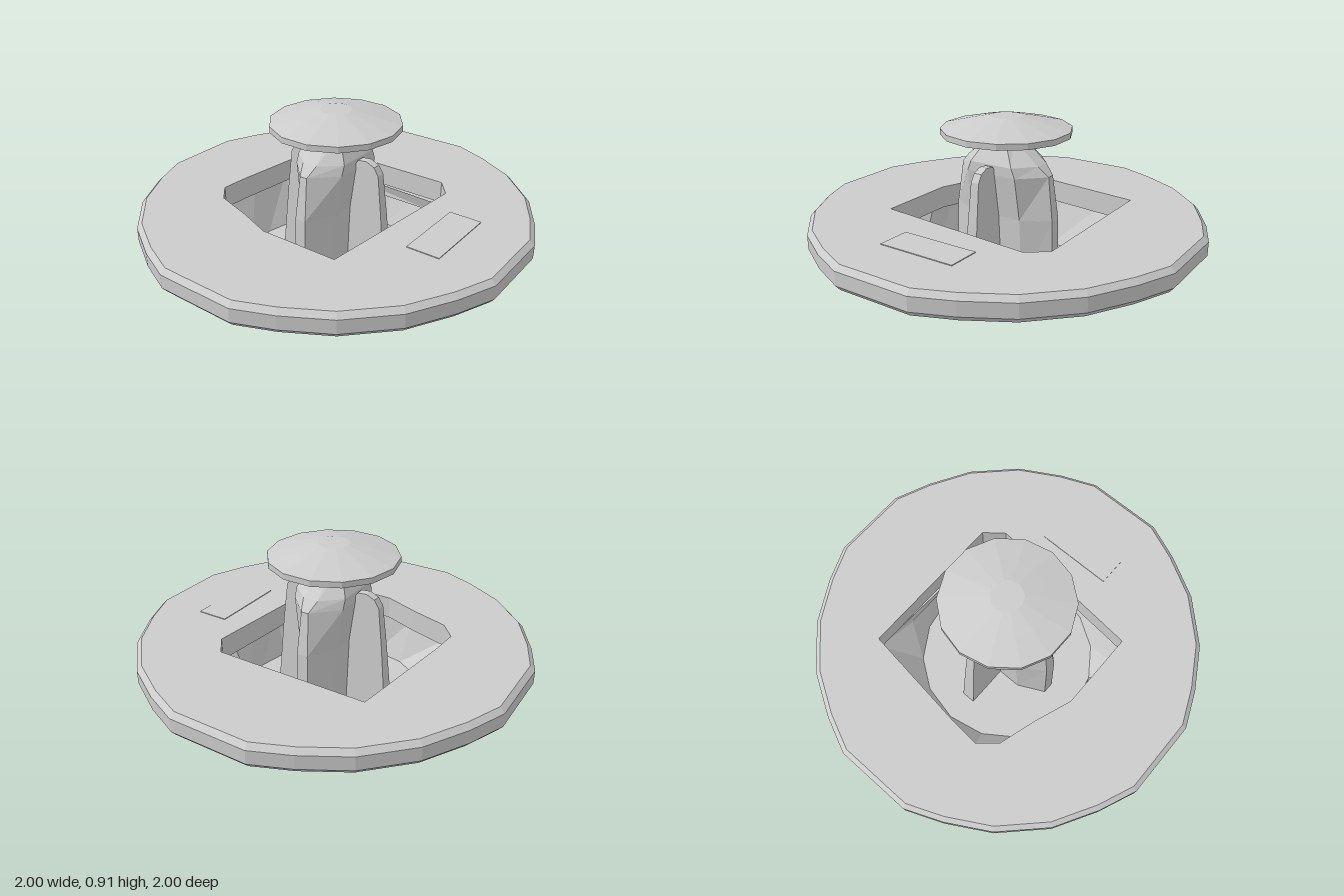
import * as THREE from 'three';

const material = new THREE.MeshStandardMaterial({ color: 0xcccccc, flatShading: true, side: THREE.DoubleSide });

// Closed loop of [x, z] pairs lifted to height y
const level = (pairs, y, s = 1) => pairs.map(([x, z]) => [x * s, y, z * s]);

// Skin between successive closed loops, with optional flat fans on the ends
function loft(loops, capStart = false, capEnd = false) {
  const n = loops[0].length;
  const pos = loops.flat(2);
  const index = [];
  for (let r = 0; r < loops.length - 1; r++) {
    for (let i = 0; i < n; i++) {
      const a = r * n + i, b = r * n + (i + 1) % n;
      index.push(a, a + n, b, b, a + n, b + n);
    }
  }
  const last = (loops.length - 1) * n;
  for (let i = 1; i < n - 1; i++) {
    if (capStart) index.push(0, i, i + 1);
    if (capEnd) index.push(last, last + i + 1, last + i);
  }
  const g = new THREE.BufferGeometry();
  g.setAttribute('position', new THREE.Float32BufferAttribute(pos, 3));
  g.setIndex(index);
  g.computeVertexNormals();
  return g;
}

// Polygon with a hole, laid flat at height y and facing up or down
function plate(outer, hole, y, up) {
  const v = (p) => p.map(([x, z]) => new THREE.Vector2(x, up ? -z : z));
  const shape = new THREE.Shape(v(outer));
  shape.holes.push(new THREE.Path(v(hole)));
  return new THREE.ShapeGeometry(shape).rotateX(up ? -Math.PI / 2 : Math.PI / 2).translate(0, y, 0);
}

export function createModel() {
  const model = new THREE.Group();
  const add = (name, geometry, parent = model) => {
    const mesh = new THREE.Mesh(geometry, material);
    mesh.name = name;
    parent.add(mesh);
    return mesh;
  };

  // Broad ring with a bevelled rim and an irregular opening
  const outline = [];
  for (let q = 0; q < 4; q++) {
    for (const deg of [11.5, 23, 37, 53, 67, 78.5]) {
      const a = THREE.MathUtils.degToRad(q * 90 + deg);
      const r = deg === 11.5 || deg === 78.5 ? 1.02 : 1;
      outline.push([r * Math.cos(a), r * Math.sin(a)]);
    }
  }
  const opening = [
    [0.48, 0.35], [0.38, 0.43], [-0.48, 0.35], [-0.48, -0.07],
    [-0.41, -0.26], [-0.35, -0.46], [-0.26, -0.54], [-0.11, -0.53], [0.48, -0.46],
  ];
  const scaled = (s) => outline.map(([x, z]) => [x * s, z * s]);
  const ring = new THREE.Group();
  ring.name = 'ring';
  model.add(ring);
  add('ringTop', plate(scaled(0.975), opening, 0.425, true), ring);
  add('ringUnderside', plate(scaled(0.98), opening, 0.305, false), ring);
  add('ringRim', loft([
    level(outline, 0.305, 0.98), level(outline, 0.33),
    level(outline, 0.4), level(outline, 0.425, 0.975),
  ]), ring);
  add('openingWall', loft([level(opening, 0.425), level(opening, 0.305)]), ring);

  // Thin raised panel on the front of the ring
  add('frontPanel', new THREE.BoxGeometry(0.41, 0.01, 0.17).translate(0.005, 0.424, 0.635), ring);

  // Sloping wedge under one side of the ring
  add('undersideWedge', loft([
    [[0.98, 0.305, 0.18], [0.9, 0.305, 0.38], [0.45, 0.305, 0.45], [0.49, 0.305, -0.56], [0.98, 0.305, -0.18]],
    [[0.97, 0.3, 0.17], [0.88, 0.298, 0.36], [0.48, 0.235, 0.3], [0.48, 0.235, -0.3], [0.97, 0.3, -0.17]],
  ], false, true));

  // Bowl whose round base flares to pointed corners under the ring
  const bowlRim = [
    [0.55, 0], [0.53, 0.2], [0.46, 0.43], [0.28, 0.72], [0.2, 0.52], [0, 0.52],
    [-0.2, 0.52], [-0.4, 0.42], [-0.63, 0.28], [-0.5, 0], [-0.52, -0.2], [-0.5, -0.48],
    [-0.25, -0.57], [0, -0.57], [0.25, -0.56], [0.49, -0.47], [0.54, -0.2],
  ];
  const bowlBase = bowlRim.map(([x, z]) => [x, z].map((c) => c * 0.475 / Math.hypot(x, z)));
  add('bowl', loft([level(bowlRim, 0.305), level(bowlBase, 0.06)], false, true));

  // Shallow keel below the bowl
  const keelTop = [[0.22, 0.2], [0.16, 0.44], [-0.16, 0.44], [-0.22, 0.2], [-0.22, -0.2], [-0.16, -0.44], [0.16, -0.44], [0.22, -0.2]];
  const keelBottom = [[0.08, 0.05], [0.05, 0.1], [-0.05, 0.1], [-0.08, 0.05], [-0.08, -0.05], [-0.05, -0.1], [0.05, -0.1], [0.08, -0.05]];
  add('keel', loft([level(keelTop, 0.058), level(keelBottom, 0)], false, true));

  // Central column, drawn out to narrow edges on both sides
  const section = (y, a, c, p, q, shift = 0) => level(
    [[a, c], [p, q], [-p, q], [-a, c], [-a, -c], [-p, -q], [p, -q], [a, -c]], y,
  ).map(([x, h, z]) => [x + shift, h, z]);
  add('column', loft([
    section(0.06, 0.3, 0.03, 0.16, 0.1),
    section(0.42, 0.29, 0.03, 0.15, 0.11),
    section(0.64, 0.26, 0.02, 0.14, 0.14),
    section(0.69, 0.21, 0.04, 0.12, 0.14),
    section(0.805, 0.07, 0.03, 0.05, 0.07, -0.01),
  ], true, true));

  // Rounded upright fins at the front and back of the column
  const finShape = new THREE.Shape([
    [0.08, 0.06], [0.33, 0.06], [0.295, 0.42], [0.27, 0.63], [0.245, 0.67],
    [0.2, 0.69], [0.15, 0.685], [0.1, 0.6],
  ].map(([x, y]) => new THREE.Vector2(x, y)));
  for (const side of [1, -1]) {
    const g = new THREE.ExtrudeGeometry(finShape, { depth: 0.06, bevelEnabled: false });
    g.translate(0, 0, -0.03);
    const p = g.attributes.position;
    // taper the thickness towards the top
    for (let i = 0; i < p.count; i++) p.setZ(i, p.getZ(i) * (1.25 - 0.8 * p.getY(i)));
    g.rotateY(-side * Math.PI / 2);
    g.computeVertexNormals();
    add(side > 0 ? 'frontFin' : 'backFin', g);
  }

  // Floating faceted cap
  const capProfile = [[0, 0.815], [0.3, 0.815], [0.33, 0.82], [0.33, 0.85], [0.19, 0.885], [0.08, 0.91], [0, 0.91]];
  add('cap', new THREE.LatheGeometry(capProfile.map(([r, y]) => new THREE.Vector2(r, y)), 14));

  return model;
}
